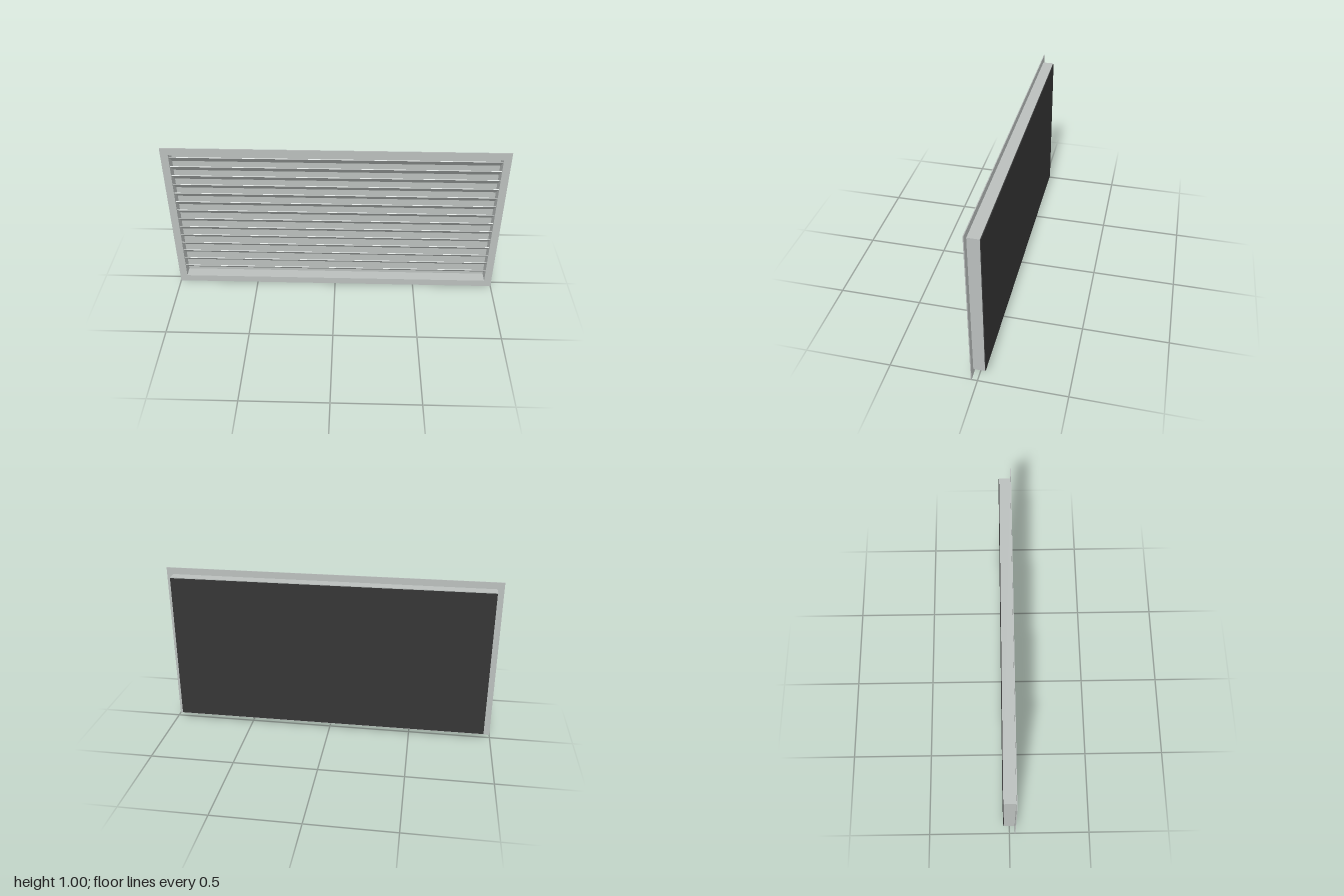
import * as THREE from 'three';

const material = (name, color) => Object.assign(new THREE.MeshStandardMaterial({ color }), { name });

// Rectangular ring centred on the origin, extruded from z = 0 to z = depth
function ringGeometry(w, h, holeW, holeH, depth) {
  const corners = (a, b) => [[-a, -b], [a, -b], [a, b], [-a, b]].map(([x, y]) => new THREE.Vector2(x / 2, y / 2));
  const shape = new THREE.Shape(corners(w, h));
  shape.holes.push(new THREE.Path(corners(holeW, holeH).reverse()));
  return new THREE.ExtrudeGeometry(shape, { depth, bevelEnabled: false });
}

export function createModel() {
  const group = new THREE.Group();
  group.name = 'louverVent';
  const metal = material('light grey metal', 0xbabfbd);
  const dark = material('dark backing', 0x353535);

  const add = (name, geometry, mat, y, z) => {
    const mesh = new THREE.Mesh(geometry, mat);
    mesh.name = name;
    mesh.position.set(0, y, z);
    group.add(mesh);
    return mesh;
  };

  // Front flange and the sleeve behind it
  add('flange', ringGeometry(2, 1, 1.91, 0.91, 0.005), metal, 0.5, 0.0325);
  add('sleeve', ringGeometry(1.92, 0.92, 1.91, 0.91, 0.0655), metal, 0.5, -0.033);

  // Light inner panel closing the sleeve, with a dark backing behind
  add('innerPanel', new THREE.BoxGeometry(1.91, 0.91, 0.002), metal, 0.5, -0.032);
  add('backing', new THREE.BoxGeometry(1.916, 0.912, 0.0045), dark, 0.5, -0.03525);

  // Slanted slats, front edge high and back edge low
  const count = 14, pitch = 0.0623;
  const slatGeometry = new THREE.BoxGeometry(1.91, 0.004, 0.081);
  for (let i = 0; i < count; i++) {
    const y = 0.502 + (i - (count - 1) / 2) * pitch;
    add('slat' + (i + 1), slatGeometry, metal, y, 0).rotation.x = -Math.PI / 4;
  }
  return group;
}
